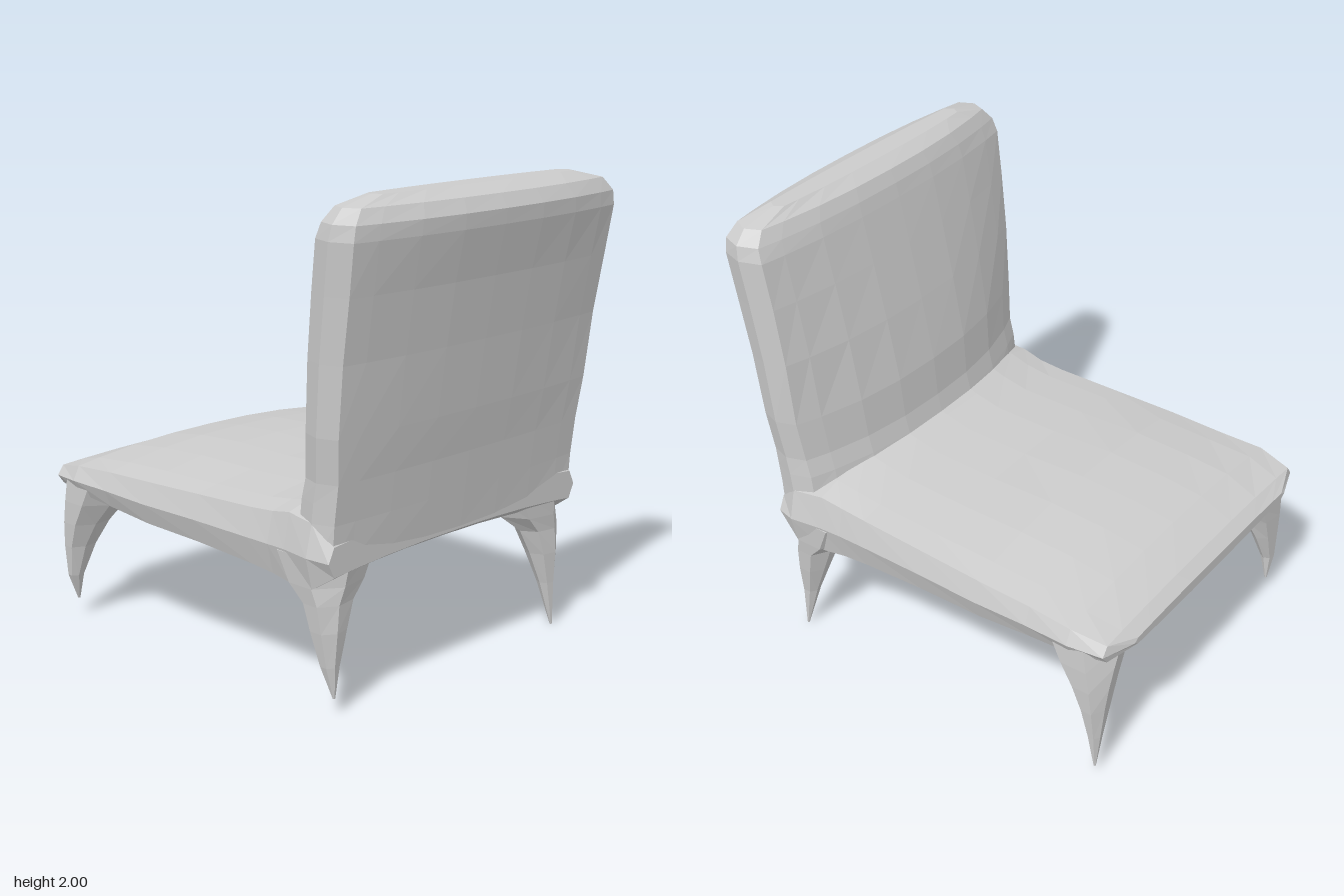
import * as THREE from 'three';

const material = new THREE.MeshStandardMaterial({ color: 0xcccccc, flatShading: true });

// Skin closed rings of points, capping both ends and facing outwards
function loft(name, rings) {
  const n = rings[0].length;
  const pts = rings.flat();
  const index = [];
  for (let r = 0; r < rings.length - 1; r++) {
    for (let i = 0; i < n; i++) {
      const a = r * n + i, b = r * n + (i + 1) % n;
      index.push(a, b, a + n, b, b + n, a + n);
    }
  }
  [0, rings.length - 1].forEach((r, end) => {
    const c = pts.length;
    const centre = new THREE.Vector3();
    rings[r].forEach(p => centre.addScaledVector(p, 1 / n));
    pts.push(centre);
    for (let i = 0; i < n; i++) {
      const a = r * n + i, b = r * n + (i + 1) % n;
      if (end) index.push(a, b, c); else index.push(b, a, c);
    }
  });
  // Turn the faces round if the enclosed volume is negative
  let volume = 0;
  const cross = new THREE.Vector3();
  for (let i = 0; i < index.length; i += 3) {
    volume += pts[index[i]].dot(cross.crossVectors(pts[index[i + 1]], pts[index[i + 2]]));
  }
  if (volume < 0) index.reverse();
  const geometry = new THREE.BufferGeometry().setFromPoints(pts);
  geometry.setIndex(index);
  geometry.computeVertexNormals();
  const mesh = new THREE.Mesh(geometry, material);
  mesh.name = name;
  return mesh;
}

// Cushion cross-section: two bulged faces joined by a rounded rim.
// a, b are the middles of the faces, ae, be their edges
const steps = [-0.96, -0.82, -0.57, -0.29, 0, 0.29, 0.57, 0.82, 0.96];
function section(w, a, ae, be, b) {
  const face = (mid, edge) => steps.map(u =>
    [u * w, edge + (mid - edge) * (1 - Math.abs(u / 0.96) ** 2.4)]);
  const rim = (ae + be) / 2;
  return [...face(a, ae), [w, rim], ...face(b, be).reverse(), [-w, rim]];
}

export function createModel() {
  const group = new THREE.Group();

  // Seat: z, half width, top, top edge, bottom edge, bottom
  const seat = [
    [-0.95, 0.60, 0.67, 0.66, 0.63, 0.62],
    [-0.90, 0.75, 0.71, 0.69, 0.61, 0.58],
    [-0.75, 0.78, 0.77, 0.72, 0.60, 0.52],
    [-0.55, 0.77, 0.80, 0.73, 0.58, 0.48],
    [-0.30, 0.77, 0.815, 0.74, 0.56, 0.46],
    [0.00, 0.76, 0.81, 0.75, 0.55, 0.475],
    [0.30, 0.75, 0.82, 0.76, 0.53, 0.50],
    [0.42, 0.75, 0.85, 0.77, 0.52, 0.52],
    [0.52, 0.76, 0.88, 0.79, 0.51, 0.53],
    [0.66, 0.78, 0.86, 0.78, 0.52, 0.56],
    [0.75, 0.75, 0.73, 0.70, 0.58, 0.61],
  ].map(([z, ...s]) => section(...s).map(([x, y]) => new THREE.Vector3(x, y, z)));
  group.add(loft('seat', seat));

  // Backrest: y, half width, inner face, inner edge, outer edge, outer face
  const back = [
    [0.62, 0.75, 0.50, 0.60, 0.74, 0.75],
    [0.78, 0.75, 0.43, 0.57, 0.75, 0.77],
    [0.86, 0.75, 0.45, 0.58, 0.76, 0.78],
    [0.94, 0.75, 0.47, 0.60, 0.77, 0.79],
    [1.12, 0.77, 0.485, 0.62, 0.79, 0.82],
    [1.40, 0.78, 0.54, 0.64, 0.82, 0.86],
    [1.65, 0.79, 0.595, 0.67, 0.86, 0.90],
    [1.85, 0.80, 0.64, 0.70, 0.89, 0.945],
    [1.91, 0.79, 0.655, 0.72, 0.89, 0.95],
    [1.965, 0.74, 0.68, 0.74, 0.87, 0.92],
    [2.00, 0.58, 0.74, 0.76, 0.83, 0.84],
  ].map(([y, ...s]) => section(...s).map(([x, z]) => new THREE.Vector3(x, y, z)));
  group.add(loft('backrest', back));

  // Legs: flared at the top, tapering to a point.
  // Each row is y, outer x, inner x, outer z, inner z (as distances from centre)
  const rearLeg = [
    [0.64, 0.78, 0.38, 0.75, 0.38],
    [0.52, 0.765, 0.45, 0.735, 0.46],
    [0.45, 0.75, 0.53, 0.725, 0.555],
    [0.34, 0.735, 0.58, 0.725, 0.59],
    [0.20, 0.71, 0.63, 0.715, 0.64],
  ];
  const frontLeg = [
    [0.66, 0.78, 0.42, 0.92, 0.56],
    [0.55, 0.78, 0.50, 0.91, 0.64],
    [0.45, 0.775, 0.56, 0.90, 0.72],
    [0.34, 0.765, 0.61, 0.89, 0.78],
    [0.20, 0.745, 0.67, 0.88, 0.82],
  ];
  const sides = 7;
  function leg(name, rows, sx, sz, tip) {
    const all = [...rows, [tip[1], tip[0] + 0.005, tip[0] - 0.005, tip[2] + 0.005, tip[2] - 0.005]];
    group.add(loft(name, all.map(([y, xo, xi, zo, zi]) =>
      Array.from({ length: sides }, (_, i) => {
        const t = (i + 0.5) / sides * Math.PI * 2;
        return new THREE.Vector3(
          sx * ((xo + xi) / 2 + (xo - xi) / 2 * Math.cos(t)), y,
          sz * ((zo + zi) / 2 + (zo - zi) / 2 * Math.sin(t)));
      }))));
  }
  leg('leftBackrestLeg', rearLeg, 1, 1, [0.69, 0, 0.70]);
  leg('rightBackrestLeg', rearLeg, -1, 1, [0.67, 0.07, 0.70]);
  leg('leftSeatLeg', frontLeg, 1, -1, [0.72, 0.04, 0.86]);
  leg('rightSeatLeg', frontLeg, -1, -1, [0.69, 0.08, 0.86]);

  return group;
}
